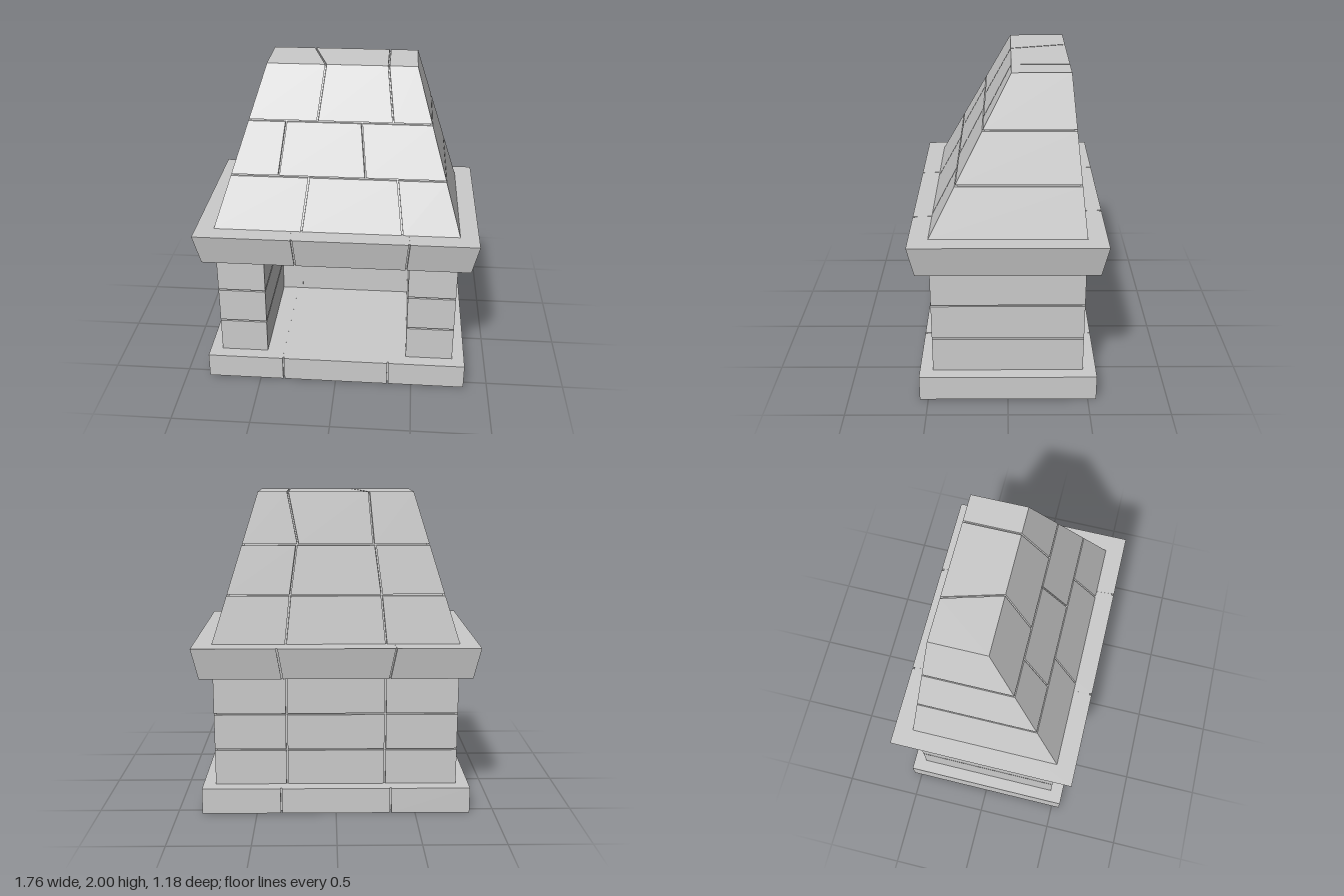
import * as THREE from 'three';

const GAP = 0.01;
const stone = new THREE.MeshStandardMaterial({ color: 0xcccccc, flatShading: true });
const lerp = THREE.MathUtils.lerp;

function add(parent, name, geometry) {
  const mesh = new THREE.Mesh(geometry, stone);
  mesh.name = name;
  parent.add(mesh);
  return mesh;
}

// Six-sided block; each ring runs front-left, front-right, back-right, back-left from above
function blockGeometry(bottom, top) {
  const c = [...bottom, ...top];
  const quads = [[3, 2, 1, 0], [4, 5, 6, 7]];
  for (let i = 0; i < 4; i++) {
    const j = (i + 1) % 4;
    quads.push([i, j, j + 4, i + 4]);
  }
  const pos = [];
  for (const [a, b, d, e] of quads) for (const k of [a, b, d, a, d, e]) pos.push(...c[k]);
  const g = new THREE.BufferGeometry();
  g.setAttribute('position', new THREE.Float32BufferAttribute(pos, 3));
  g.computeVertexNormals();
  return g;
}

// A course of stones between y0 and y1. profile(y) gives half width, front z and back z.
// Joints are [x at bottom, x at top] pairs, one list for the front and one for the back.
function course(parent, name, y0, y1, profile, front, back, coreBottom, coreTop) {
  const group = new THREE.Group();
  group.name = name;
  parent.add(group);
  const ring = (y, fl, fr, br, bl, p) => [[fl, y, p.f], [fr, y, p.f], [br, y, p.b], [bl, y, p.b]];

  for (let i = 0; i <= front.length; i++) {
    const rings = [y0, y1].map((y, level) => {
      const p = profile(y);
      const left = (list) => (i === 0 ? -p.x : list[i - 1][level] + GAP / 2);
      const right = (list) => (i === list.length ? p.x : list[i][level] - GAP / 2);
      return ring(y, left(front), right(front), right(back), left(back), p);
    });
    add(group, 'stone', blockGeometry(rings[0], rings[1]));
  }

  // Mortar core, set back behind the joints
  const inset = 0.015;
  const core = [coreBottom, coreTop].map((y) => {
    const p = profile(y);
    const q = { x: p.x - inset, f: p.f - inset, b: p.b + inset };
    return ring(y, -q.x, q.x, q.x, -q.x, q);
  });
  add(group, 'mortar', blockGeometry(core[0], core[1]));
}

// Flat plan of [x, z] points raised from y0 to y1
function prism(points, y0, y1) {
  const shape = new THREE.Shape(points.map(([x, z]) => new THREE.Vector2(x, -z)));
  const g = new THREE.ExtrudeGeometry(shape, { depth: y1 - y0, bevelEnabled: false });
  return g.rotateX(-Math.PI / 2).translate(0, y0, 0);
}

export function createModel() {
  const fireplace = new THREE.Group();
  fireplace.name = 'fireplace';

  // Hearth slab
  const straight = [[-0.345, -0.345], [0.345, 0.345]];
  course(fireplace, 'hearth', 0, 0.165, () => ({ x: 0.845, f: 0.553, b: -0.553 }),
    straight, straight, 0.01, 0.164);

  // Firebox: side piers wrapping round to the back wall, in three courses
  const firebox = new THREE.Group();
  firebox.name = 'firebox';
  fireplace.add(firebox);
  const W = 0.765, D = 0.47, IN = 0.46, BACK = -0.32, J = 0.31;
  const levels = [0.165, 0.4, 0.635, 0.88];
  for (let i = 0; i < 3; i++) {
    const y0 = levels[i], y1 = levels[i + 1] - (i < 2 ? GAP : 0);
    for (const s of [-1, 1]) {
      const plan = [[W, D], [IN, D], [IN, BACK], [J + GAP / 2, BACK], [J + GAP / 2, -D], [W, -D]];
      add(firebox, s > 0 ? 'leftPierStone' : 'rightPierStone',
        prism(plan.map(([x, z]) => [s * x, z]), y0, y1));
    }
    const h = J - GAP / 2;
    add(firebox, 'backWallStone', prism([[-h, BACK], [h, BACK], [h, -D], [-h, -D]], y0, y1));
  }
  // Mortar behind the firebox joints
  const e = 0.015, t = 0.003;
  const half = [[IN + t, BACK - t], [IN + t, D - e], [W - e, D - e], [W - e, -D + e]];
  const mirrored = half.map(([x, z]) => [-x, z]).reverse();
  add(firebox, 'mortar', prism([...half, ...mirrored], 0.165, 0.88));

  // Flared mantel
  course(fireplace, 'mantel', 0.88, 1.08, (y) => {
    const k = (y - 0.88) / 0.2;
    const z = lerp(0.55, 0.588, k);
    return { x: lerp(0.84, 0.88, k), f: z, b: -z };
  }, [[-0.25, -0.265], [0.44, 0.455]], [[-0.33, -0.365], [0.33, 0.36]], 0.881, 1.079);

  // Tapered hood in three courses
  const hood = (y) => {
    const k = (y - 1.08) / 0.92;
    return { x: lerp(0.765, 0.47, k), f: lerp(0.47, -0.02, k), b: lerp(-0.47, -0.37, k) };
  };
  const rows = [
    [1.08, 1.385, [[-0.215, -0.18], [0.41, 0.37]], [[-0.31, -0.28], [0.31, 0.28]]],
    [1.385, 1.69, [[-0.37, -0.335], [0.17, 0.135]], [[-0.28, -0.24], [0.28, 0.24]]],
    [1.69, 2, [[-0.14, -0.1], [0.33, 0.29]], [[-0.23, -0.2], [0.23, 0.29]]],
  ];
  rows.forEach(([y0, y1, front, back], i) => {
    const top = i < 2;
    course(fireplace, 'hoodCourse', y0, top ? y1 - GAP : y1, hood, front, back,
      y0, top ? y1 : y1 - GAP);
  });

  return fireplace;
}
